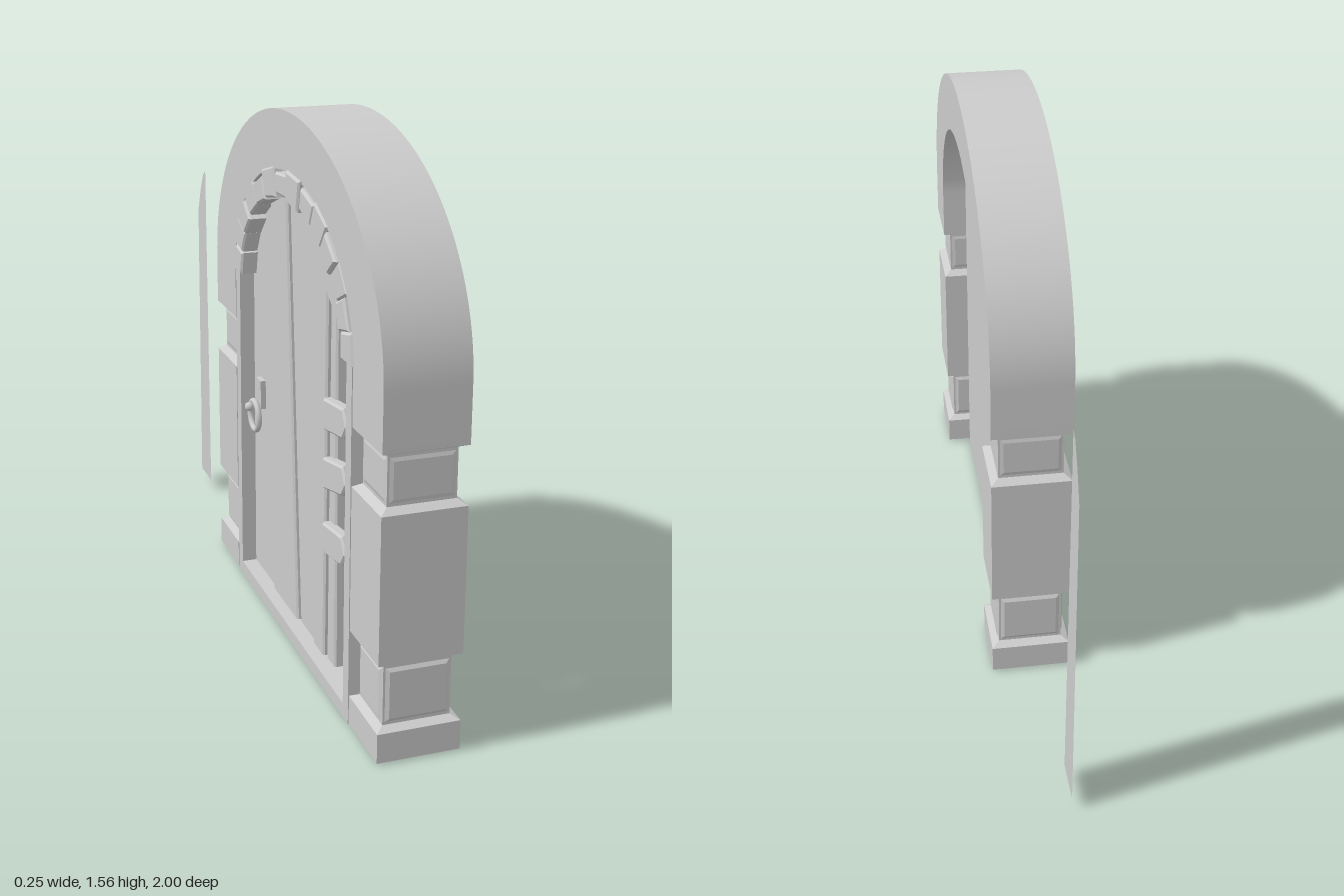
import * as THREE from 'three';
import { toCreasedNormals } from 'three/addons/utils/BufferGeometryUtils.js';

const grey = new THREE.MeshStandardMaterial({ color: 0xcccccc });
const thin = new THREE.MeshStandardMaterial({ color: 0xcccccc, side: THREE.DoubleSide });
const ZC = 0.2825, SPRING = 1.0; // middle of the doorway, height where the arch springs

const polygon = points => new THREE.Shape(points.map(([z, y]) => new THREE.Vector2(z, y)));

// The decorated side of the door looks along -x; outlines are drawn in (z, y)
function slab(shape, xBack, depth, bevel = 0) {
  const geo = new THREE.ExtrudeGeometry(shape, {
    depth: depth - bevel, curveSegments: 48, bevelEnabled: bevel > 0,
    bevelSize: bevel, bevelThickness: bevel, bevelOffset: -bevel, bevelSegments: 1
  });
  geo.rotateY(-Math.PI / 2).translate(xBack, 0, 0);
  return toCreasedNormals(geo, 0.5);
}

function add(parent, name, geo, mat = grey) {
  const mesh = new THREE.Mesh(geo, mat);
  mesh.name = name;
  parent.add(mesh);
  return mesh;
}

// Box standing on y = 0 whose top is drawn in by an inset (negative flares it)
function taperedBox(w, h, d, inset) {
  const geo = new THREE.BoxGeometry(w, h, d).translate(0, h / 2, 0);
  const p = geo.attributes.position;
  for (let i = 0; i < p.count; i++) {
    if (p.getY(i) < h / 2) continue;
    p.setX(i, p.getX(i) - Math.sign(p.getX(i)) * inset);
    p.setZ(i, p.getZ(i) - Math.sign(p.getZ(i)) * inset);
  }
  const flat = geo.toNonIndexed();
  flat.computeVertexNormals();
  return flat;
}

// Round-headed outline with elliptical top
function archOutline(a, b, yBottom) {
  const s = new THREE.Shape();
  s.moveTo(ZC - a, yBottom);
  s.lineTo(ZC + a, yBottom);
  s.lineTo(ZC + a, SPRING);
  s.absellipse(ZC, SPRING, a, b, 0, Math.PI, false, 0);
  s.closePath();
  return s;
}

function pillar(zMid, width) {
  const g = new THREE.Group();
  g.name = 'pillar';
  g.position.set(0.008, 0, zMid);
  const W = 0.23, D = width, IN = 0.022;
  const block = (name, y0, y1, inset = 0, grow = 0) => {
    const m = add(g, name, taperedBox(W - 2 * grow, y1 - y0, D - 2 * grow, inset));
    m.position.y = y0;
  };
  block('plinth', 0.005, 0.088);
  block('plinthChamfer', 0.088, 0.1, IN);
  block('shaftBottomChamfer', 0.268, 0.28, -IN, IN);
  block('shaft', 0.28, 0.685);
  block('shaftTopChamfer', 0.685, 0.7, IN);
  block('archFootChamfer', 0.835, 0.845, -IN, IN);
  // Necks with a shallow bevelled panel on every face
  for (const [y0, y1, raise] of [[0.1, 0.268, 0.006], [0.7, 0.835, 0.003]]) {
    block('neck', y0, y1, 0, IN);
    for (let i = 0; i < 4; i++) {
      const across = (i % 2 ? D : W) - 2 * IN - 0.012;
      const out = (i % 2 ? W : D) / 2 - IN;
      const geo = taperedBox(across, raise, y1 - y0 - 0.016, 0.01).rotateX(Math.PI / 2);
      geo.translate(0, (y0 + y1) / 2, out).rotateY(i * Math.PI / 2);
      add(g, 'neckPanel', geo);
    }
  }
  return g;
}

// Plank with its head cut to the curve of the arch
function plankOutline(zb0, zb1, zt0, zt1) {
  const pts = [[zb0, 0.035], [zb1, 0.035]];
  for (let i = 0; i <= 6; i++) {
    const z = zt1 + (zt0 - zt1) * i / 6;
    const u = (z - ZC) / 0.485;
    pts.push([z, SPRING + 0.36 * Math.sqrt(Math.max(0, 1 - u * u))]);
  }
  return polygon(pts);
}

export function createModel() {
  const model = new THREE.Group();
  model.name = 'archedDoorway';

  // Stone arch with its short legs
  const arch = new THREE.Shape();
  arch.moveTo(ZC + 0.5125, 0.845);
  arch.lineTo(ZC + 0.7175, 0.845);
  arch.lineTo(ZC + 0.7175, SPRING);
  arch.absellipse(ZC, SPRING, 0.7175, 0.556, 0, Math.PI, false, 0);
  arch.lineTo(ZC - 0.7175, 0.845);
  arch.lineTo(ZC - 0.5125, 0.845);
  arch.lineTo(ZC - 0.5125, SPRING);
  arch.absellipse(ZC, SPRING, 0.5125, 0.393, Math.PI, 0, true, 0);
  arch.closePath();
  add(model, 'stoneArch', slab(arch, 0.123, 0.23));

  for (const side of [-1, 1]) model.add(pillar(ZC + side * 0.615, 0.205));

  // Door backing, sill and jambs
  const door = new THREE.Group();
  door.name = 'door';
  door.position.x = 0.003;
  model.add(door);
  add(door, 'backing', slab(archOutline(0.506, 0.38, 0), 0.046, 0.071));
  add(door, 'sill', new THREE.BoxGeometry(0.085, 0.04, 1.012).translate(-0.0675, 0.02, ZC));
  for (const side of [-1, 1])
    add(door, 'jamb', new THREE.BoxGeometry(0.085, 1.0, 0.04).translate(-0.0675, 0.53, ZC + side * 0.486));

  // Slanted planks; the one beside the right jamb is missing
  const planks = [
    [-0.19, 0.02, -0.19, 0.0], [0.03, 0.255, 0.01, 0.15],
    [0.265, 0.39, 0.16, 0.37], [0.4, 0.485, 0.38, 0.5], [0.495, 0.56, 0.51, 0.55]
  ];
  planks.forEach((p, i) => add(door, 'plank', slab(plankOutline(...p), -0.02, 0.045 + (i % 2) * 0.008, 0.006)));

  // Pointed boards reaching over the gap
  [[0.42, 0.02], [0.61, 0.03], [0.78, 0.02], [1.18, -0.1]].forEach(([y, tilt]) => {
    const board = [[0.51, y - 0.045], [0.66, y - 0.04 + tilt], [0.69, y + tilt], [0.66, y + 0.045 + tilt], [0.51, y + 0.045]];
    add(door, 'hingeBoard', slab(polygon(board), -0.06, 0.028, 0.006));
  });

  // Ring of small stones under the arch; every other one stands clear of it
  const COUNT = 14;
  for (let i = 0; i < COUNT; i++) {
    const t = Math.PI * (i + 0.5) / COUNT;
    const wobble = 0.005 * Math.sin(i * 2.4);
    const at = (angle, inset) => [
      ZC + (0.512 - inset) * Math.cos(angle), SPRING + (0.392 - inset) * Math.sin(angle)];
    const half = Math.PI / COUNT * 0.49;
    const outer = i % 2 ? 0.008 : -0.008, inner = 0.072 + wobble;
    const stone = [at(t - half, outer), at(t + half, outer), at(t + half, inner), at(t - half, inner + 0.006)];
    add(door, 'archStone', slab(polygon(stone), -0.03, 0.086 + wobble * 0.6, 0.006));
  }

  // Ring handle with its plate and stud
  const handle = new THREE.Group();
  handle.name = 'handle';
  handle.position.set(-0.07, 0.6, -0.09);
  door.add(handle);
  add(handle, 'plate', new THREE.BoxGeometry(0.016, 0.09, 0.045).translate(-0.004, 0.04, 0));
  add(handle, 'stud', new THREE.SphereGeometry(0.014, 16, 10).translate(-0.042, 0, 0));
  add(handle, 'stem', new THREE.CylinderGeometry(0.008, 0.008, 0.04, 12).rotateZ(Math.PI / 2).translate(-0.02, 0, 0));
  const ring = add(handle, 'ring', new THREE.TorusGeometry(0.045, 0.009, 10, 28).rotateY(Math.PI / 2));
  ring.position.set(-0.025, -0.03, 0);

  // Loose plank standing apart, a single thin sheet
  const loose = polygon([
    [-1, 0.04], [-0.877, 0.04], [-0.886, 1.175], [-0.913, 1.16], [-0.95, 1.1], [-0.985, 1.02]
  ]);
  add(model, 'loosePlank', new THREE.ShapeGeometry(loose).rotateY(-Math.PI / 2).translate(-0.02, 0, 0), thin);

  return model;
}
